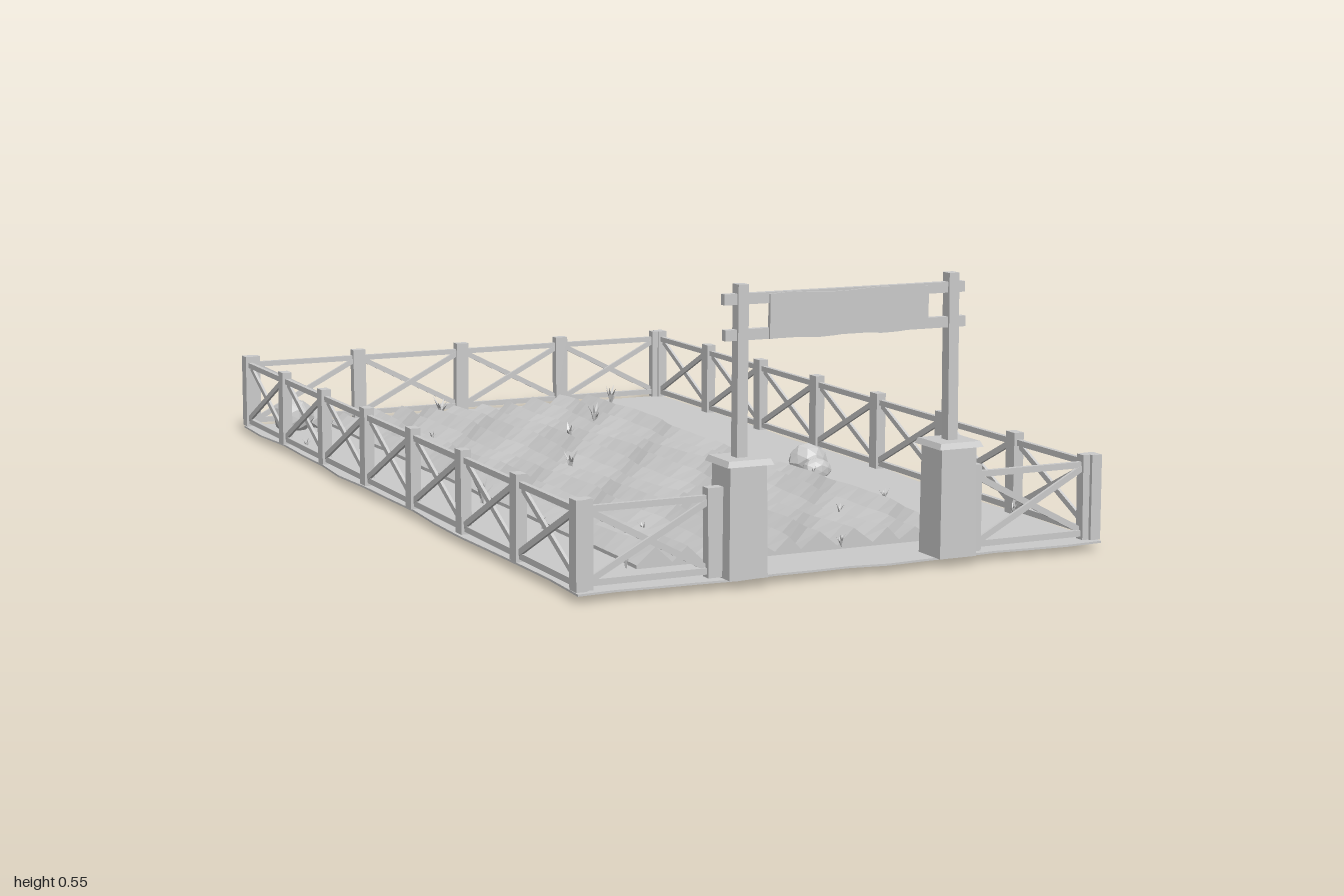
import * as THREE from 'three';

const mat = new THREE.MeshStandardMaterial({ color: 0xcccccc, flatShading: true });
const thin = new THREE.MeshStandardMaterial({ color: 0xcccccc, flatShading: true, side: THREE.DoubleSide });
const GROUND = 0.022;

function rng(seed) {
  return () => (seed = (seed * 16807) % 2147483647) / 2147483647;
}

function add(parent, name, geo, x = 0, y = 0, z = 0, m = mat) {
  const mesh = new THREE.Mesh(geo, m);
  mesh.name = name;
  mesh.position.set(x, y, z);
  parent.add(mesh);
  return mesh;
}

const box = (parent, name, w, h, d, x, y, z) => add(parent, name, new THREE.BoxGeometry(w, h, d), x, y, z);

// Straight bar between two points in the local x-y plane
function bar(parent, name, x1, y1, x2, y2, h, d, z) {
  const mesh = box(parent, name, Math.hypot(x2 - x1, y2 - y1), h, d, (x1 + x2) / 2, (y1 + y2) / 2, z);
  mesh.rotation.z = Math.atan2(y2 - y1, x2 - x1);
}

// Fence run along local x, with crossed braces in every bay
function fence(name, length, bays) {
  const run = new THREE.Group();
  run.name = name;
  const step = length / bays;
  for (let i = 0; i <= bays; i++) {
    const x = -length / 2 + i * step;
    const post = box(run, 'fencePost', 0.031, 0.166, 0.022, x, 0.107, 0);
    post.rotation.z = 0.012 * Math.sin(i * 2.3);
    if (i === bays) break;
    const a = x + 0.014, b = x + step - 0.014;
    bar(run, 'topRail', a, 0.17, b, 0.17, 0.012, 0.01, 0);
    bar(run, 'bottomRail', a, 0.036, b, 0.036, 0.012, 0.01, 0);
    bar(run, 'brace', a, 0.042, b, 0.164, 0.012, 0.006, 0.003);
    bar(run, 'brace', a, 0.164, b, 0.042, 0.012, 0.006, -0.003);
  }
  return run;
}

// Ground sheet with ragged rim and an opening under the field
function ground(parent) {
  const shape = new THREE.Shape();
  const corners = [[-0.55, -0.975], [0.55, -0.975], [0.55, 0.993], [-0.55, 0.993]];
  let k = 0;
  corners.forEach(([x1, y1], c) => {
    const [x2, y2] = corners[(c + 1) % 4];
    for (let i = 0; i < 14; i++, k++) {
      const t = i / 14, w = i ? 0.005 * Math.sin(k * 1.3) + 0.003 * Math.sin(k * 2.9) : 0;
      const x = x1 + (x2 - x1) * t + (c % 2 ? w : 0);
      const y = y1 + (y2 - y1) * t + (c % 2 ? 0 : w);
      k ? shape.lineTo(x, y) : shape.moveTo(x, y);
    }
  });
  const hole = new THREE.Path();
  hole.moveTo(-0.365, -0.83);
  hole.lineTo(-0.365, 0.895);
  hole.lineTo(0.33, 0.895);
  hole.lineTo(0.33, -0.83);
  shape.holes.push(hole);
  const geo = new THREE.ExtrudeGeometry(shape, { depth: 0.004, bevelEnabled: false });
  geo.rotateX(-Math.PI / 2);
  add(parent, 'ground', geo, 0, GROUND - 0.004, 0);
}

// Ploughed field: zigzag cross-section swept along z, wandering sideways
function field(parent) {
  const ridges = 10, rows = 44, x0 = -0.365, x1 = 0.33, z0 = -0.895, z1 = 0.83;
  const cols = ridges * 2 + 3;
  const pos = [], idx = [];
  for (let r = 0; r < rows + 3; r++) {
    const row = Math.min(Math.max(r - 1, 0), rows);
    const z = z0 + ((z1 - z0) * row) / rows;
    for (let c = 0; c < cols; c++) {
      const p = Math.min(Math.max(c - 1, 0), ridges * 2);
      const skirt = c === 0 || c === cols - 1 || r === 0 || r === rows + 2;
      const rim = p === 0 || p === ridges * 2;
      const wave = 0.006 * Math.sin(z * 17 + p * 0.9) + 0.003 * Math.sin(z * 41 + p * 2.1);
      const peak = 0.056 + 0.005 * Math.sin(p * 2.6 + z * 6);
      pos.push(x0 + ((x1 - x0) * p) / (ridges * 2) + (rim ? 0.4 * Math.min(0, wave * Math.sign(p - 1)) : wave),
        skirt ? 0.019 : p % 2 ? peak : 0.029, z);
      if (r && c) {
        const d = r * cols + c, u = d - cols;
        idx.push(u - 1, d - 1, d, u - 1, d, u);
      }
    }
  }
  const geo = new THREE.BufferGeometry();
  geo.setAttribute('position', new THREE.Float32BufferAttribute(pos, 3));
  geo.setIndex(idx);
  geo.computeVertexNormals();
  add(parent, 'ploughedField', geo, 0, 0, 0, thin);
}

// Faceted boulder
function rock(parent, x, y, z, rx, ry, rz, seed) {
  const geo = new THREE.IcosahedronGeometry(1, 1);
  const p = geo.attributes.position, v = new THREE.Vector3();
  for (let i = 0; i < p.count; i++) {
    v.fromBufferAttribute(p, i);
    const s = 0.95 + 0.08 * Math.sin(v.x * 4 + seed) * Math.cos(v.z * 3 + v.y * 4 + seed);
    p.setXYZ(i, v.x * s * rx, v.y * s * ry, v.z * s * rz);
  }
  geo.computeVertexNormals();
  add(parent, 'rock', geo, x, y, z);
}

// Tuft of pointed, outward bending blades
function tuft(parent, x, z, size, seed) {
  const rand = rng(seed * 977 + 31);
  const pos = [];
  for (let i = 0; i < 7; i++) {
    const a = (i / 7) * Math.PI * 2 + rand(), h = size * (0.6 + 0.4 * rand()), out = size * (0.2 + 0.3 * rand());
    const cx = Math.cos(a), cz = Math.sin(a), w = size * 0.06;
    const at = (r, y, s) => [cx * r - cz * s, y, cz * r + cx * s];
    const A = at(0, 0, -w), B = at(0, 0, w), C = at(out * 0.4, h * 0.6, -w), D = at(out * 0.4, h * 0.6, w);
    pos.push(...A, ...B, ...D, ...A, ...D, ...C, ...C, ...D, ...at(out, h, 0));
  }
  const geo = new THREE.BufferGeometry();
  geo.setAttribute('position', new THREE.Float32BufferAttribute(pos, 3));
  geo.computeVertexNormals();
  add(parent, 'grassTuft', geo, x, 0.026, z, thin);
}

// Gate: stone pillars, timber posts, two rails and a worn board
function gate(parent) {
  const g = new THREE.Group();
  g.name = 'gate';
  parent.add(g);
  for (const s of [-1, 1]) {
    const x = s * 0.22, z = 0.953;
    const body = new THREE.CylinderGeometry(0.037 * Math.SQRT2, 0.039 * Math.SQRT2, 0.21, 4, 1);
    body.rotateY(Math.PI / 4);
    add(g, 'pillar', body, x, 0.127, z);
    const cap = new THREE.CylinderGeometry(0.042 * Math.SQRT2, 0.047 * Math.SQRT2, 0.011, 4, 1);
    cap.rotateY(Math.PI / 4);
    add(g, 'pillarCap', cap, x, 0.236, z);
    box(g, 'gatePost', 0.021, 0.318, 0.024, x, 0.397, z).rotation.z = s * 0.006;
  }
  box(g, 'signRail', 0.5, 0.02, 0.014, -0.005, 0.529, 0.953);
  box(g, 'signRail', 0.5, 0.02, 0.014, -0.003, 0.464, 0.953);
  const board = new THREE.Shape();
  const n = 10;
  for (let i = 0; i <= n; i++) {
    const x = -0.165 + (0.33 * i) / n, y = 0.454 + 0.002 * Math.sin(i * 1.5);
    i ? board.lineTo(x, y) : board.moveTo(x, y);
  }
  for (let i = n; i >= 0; i--) board.lineTo(-0.165 + (0.33 * i) / n, 0.536 + 0.002 * Math.sin(i * 1.1));
  add(g, 'signBoard', new THREE.ExtrudeGeometry(board, { depth: 0.008, bevelEnabled: false }), 0, 0, 0.956);
}

export function createModel() {
  const model = new THREE.Group();
  model.name = 'fencedField';
  ground(model);
  field(model);
  gate(model);

  // Fences: both sides, back, and two short front panels
  for (const s of [-1, 1]) {
    const side = fence(s < 0 ? 'rightFence' : 'leftFence', 1.94, 7);
    side.rotation.y = Math.PI / 2;
    side.position.set(s * 0.54, 0, -0.015);
    const front = fence(s < 0 ? 'frontRightFence' : 'frontLeftFence', 0.258, 1);
    front.position.set(s * 0.401, 0, 0.952);
    model.add(side, front);
  }
  const back = fence('backFence', 1.06, 4);
  back.position.z = -0.985;
  model.add(back);

  rock(model, -0.455, 0.05, -0.91, 0.05, 0.045, 0.05, 1);
  rock(model, -0.388, 0.036, -0.915, 0.032, 0.034, 0.034, 2);
  rock(model, 0.385, 0.045, 0.095, 0.045, 0.042, 0.045, 3);
  rock(model, 0.383, 0.033, 0.137, 0.034, 0.027, 0.028, 4);

  // Large tufts, then small ones
  [[-0.09, -0.89], [0.36, -0.89], [0.2, -0.63], [0.05, -0.44], [-0.09, -0.11], [-0.4, 0.15], [0.36, 0.8]]
    .forEach(([x, z], i) => tuft(model, x, z, 0.055, i + 1));
  [[-0.52, -0.62], [-0.39, -0.61], [-0.23, -0.58], [-0.25, 0.08], [-0.39, 0.44], [-0.23, 0.56], [-0.39, 0.83],
    [0.06, 0.83], [0.2, 0.57], [0.36, 0.47], [0.35, 0.18], [0.52, 0.71]]
    .forEach(([x, z], i) => tuft(model, x, z, 0.028, i + 20));
  return model;
}
